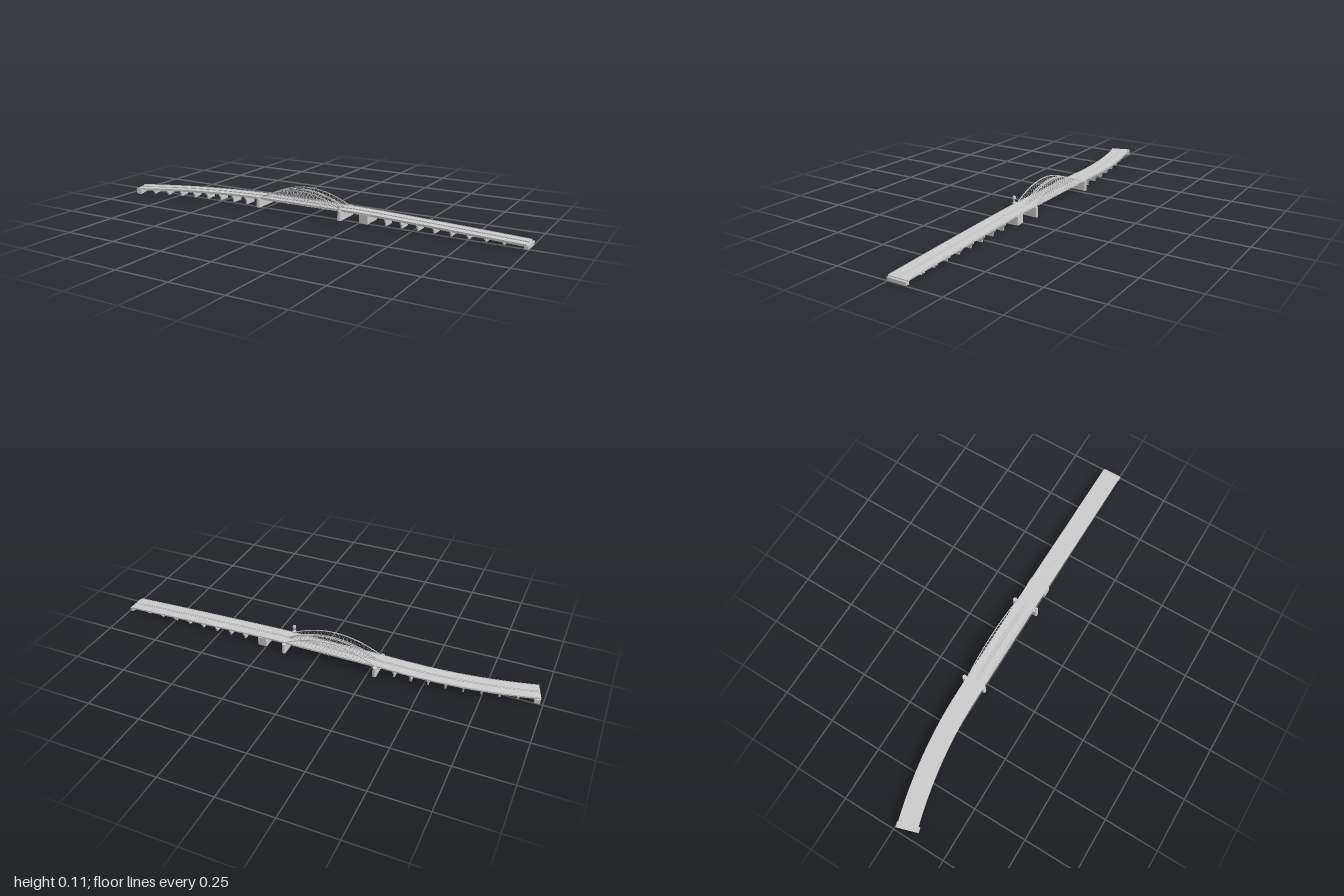
import * as THREE from 'three';

const mat = new THREE.MeshStandardMaterial({ color: 0xcccccc, flatShading: true, side: THREE.DoubleSide });
const CZ = -0.04, BEND = -0.36, R = 2.07, TOP = 0.046;
const S0 = -0.985, S1 = 0.99;

// Road surface height along the route
function roadY(s) {
  if (s < -0.28) return TOP - 0.021 * Math.pow((-0.28 - s) / 0.71, 1.2);
  if (s > 0.2) return TOP - 0.028 * Math.pow((s - 0.2) / 0.79, 1.2);
  return TOP;
}

// Heading of the route: straight, then a gentle arc on the right-hand approach
const heading = s => (s < BEND ? (BEND - s) / R : 0);

// Point at distance s along the route, u sideways and v above the road
function place(s, u, v) {
  const a = heading(s);
  const x = s < BEND ? BEND - R * Math.sin(a) : s;
  return new THREE.Vector3(x + u * Math.sin(a), roadY(s) + v, CZ + R * (1 - Math.cos(a)) + u * Math.cos(a));
}

function add(parent, geo, name) {
  const m = new THREE.Mesh(geo, mat);
  m.name = name;
  parent.add(m);
  return m;
}

function box(parent, name, x, y, z, w, h, d) {
  const m = add(parent, new THREE.BoxGeometry(w, h, d), name);
  m.position.set(x, y, z);
  return m;
}

// Rectangular section swept along the route
function ribbon(parent, name, u0, u1, v0, v1, s0 = S0, s1 = S1) {
  const prof = [[u0, v0], [u1, v0], [u1, v1], [u0, v1]];
  const n = Math.ceil((s1 - s0) / 0.04);
  const pos = [];
  const at = (i, j) => place(s0 + (s1 - s0) * i / n, ...prof[j % 4]);
  const quad = (a, b, c, d) => [a, b, c, a, c, d].forEach(p => pos.push(p.x, p.y, p.z));
  for (let i = 0; i < n; i++)
    for (let j = 0; j < 4; j++) quad(at(i, j), at(i + 1, j), at(i + 1, j + 1), at(i, j + 1));
  quad(at(0, 0), at(0, 1), at(0, 2), at(0, 3));
  quad(at(n, 0), at(n, 3), at(n, 2), at(n, 1));
  const g = new THREE.BufferGeometry();
  g.setAttribute('position', new THREE.Float32BufferAttribute(pos, 3));
  g.computeVertexNormals();
  return add(parent, g, name);
}

// Straight square bar between two points
function bar(parent, name, a, b, w, d = w) {
  const len = a.distanceTo(b);
  const m = add(parent, new THREE.BoxGeometry(w, len, d), name);
  m.position.copy(a).lerp(b, 0.5);
  m.rotation.z = Math.atan2(a.x - b.x, b.y - a.y);
  return m;
}

function deck() {
  const g = new THREE.Group();
  g.name = 'deck';
  ribbon(g, 'roadSlab', -0.045, 0.045, -0.003, 0);
  for (const side of [-1, 1]) {
    ribbon(g, 'parapet', side * 0.0445 - 0.0006, side * 0.0445 + 0.0006, -0.004, 0.0025);
    ribbon(g, 'medianBarrier', side * 0.004 - 0.0005, side * 0.004 + 0.0005, -0.001, 0.0018);
    for (const u of [0.009, 0.019, 0.029, 0.039])
      ribbon(g, 'girder', side * u - 0.001, side * u + 0.001, -0.009, -0.002);
  }
  return g;
}

// Arch with crossing hangers and a tie beam
function arch(z) {
  const g = new THREE.Group();
  g.name = 'arch';
  const mid = -0.06, half = 0.215, rise = 0.058;
  const point = x => {
    const t = THREE.MathUtils.clamp((x - mid) / half, -1, 1);
    return new THREE.Vector3(mid + t * half, TOP + rise * (1 - t * t), z);
  };
  const N = 24;
  for (let i = 0; i < N; i++) {
    const x = mid - half + 2 * half * i / N;
    bar(g, 'archRib', point(x), point(x + 2 * half / N), 0.0035);
  }
  for (let i = 1; i < N; i++) {
    const x = mid - half + 2 * half * i / N;
    for (const lean of [-1, 1]) {
      const h = point(x).y - TOP;
      const foot = new THREE.Vector3(x, TOP, z);
      bar(g, 'hanger', foot, point(x + lean * h * 0.5), 0.001);
    }
  }
  box(g, 'tieBeam', mid, TOP - 0.002, z, 2 * half, 0.008, 0.0035);
  return g;
}

// Wall pier tapering below its cap, turned to follow the route
function bent(s) {
  const h = roadY(s) - 0.007;
  const cap = Math.min(0.006, h * 0.35);
  const shape = new THREE.Shape();
  [[-0.03, 0], [0.03, 0], [0.032, h * 0.4], [0.042, h - cap], [0.042, h], [-0.042, h], [-0.042, h - cap], [-0.032, h * 0.4]]
    .forEach(([x, y], i) => (i ? shape.lineTo(x, y) : shape.moveTo(x, y)));
  const geo = new THREE.ExtrudeGeometry(shape, { depth: 0.007, bevelEnabled: false });
  geo.translate(0, 0, -0.0035).rotateY(Math.PI / 2);
  const m = new THREE.Mesh(geo, mat);
  m.name = 'approachPier';
  const p = place(s, 0, 0);
  m.position.set(p.x, 0, p.z);
  m.rotation.y = heading(s);
  return m;
}

// Main river pier: long wall with rounded noses
function riverPier(x, z0, z1, r) {
  const g = new THREE.Group();
  g.name = 'riverPier';
  const h = TOP - 0.004;
  box(g, 'pierWall', x, h / 2, (z0 + z1) / 2, r * 1.7, h, z1 - z0 - 2 * r);
  for (const z of [z0 + r, z1 - r]) {
    const nose = add(g, new THREE.CylinderGeometry(r, r, TOP, 16), 'pierNose');
    nose.position.set(x, TOP / 2, z);
  }
  return g;
}

function abutment(s, depth, width, h) {
  const g = new THREE.Group();
  g.name = 'abutment';
  box(g, 'abutmentWall', 0, h / 2, 0, depth, h, width);
  const p = place(s, 0, 0);
  g.position.set(p.x, 0, p.z);
  g.rotation.y = heading(s);
  return g;
}

export function createModel() {
  const root = new THREE.Group();
  root.name = 'archBridge';
  root.add(deck());
  for (const z of [0.002, -0.034, -0.044, -0.083]) root.add(arch(z));

  // Cross beams below the main span
  for (let i = 0; i <= 20; i++) box(root, 'crossBeam', -0.27 + i * 0.021, TOP - 0.006, CZ, 0.0025, 0.006, 0.086);

  // Approach piers on both sides
  for (let i = 0; i < 8; i++) {
    root.add(bent(-0.365 - i * 0.0755));
    root.add(bent(0.37 + i * 0.075));
  }

  // River piers and the transition block
  root.add(riverPier(-0.284, -0.105, 0.016, 0.01));
  root.add(riverPier(0.155, -0.105, 0.026, 0.009));
  box(root, 'transitionPier', 0.27, 0.0205, CZ, 0.042, 0.041, 0.096);

  // Abutments
  root.add(abutment(-0.971, 0.024, 0.1, 0.021));
  root.add(abutment(0.99, 0.018, 0.09, 0.014));

  // Lookout tower on the pier nose
  const profile = [[0, 0], [0.0065, 0], [0.0065, 0.047], [0.0045, 0.048], [0.0045, 0.059], [0.008, 0.063],
    [0.008, 0.072], [0.006, 0.075], [0, 0.077]].map(p => new THREE.Vector2(...p));
  const tower = add(root, new THREE.LatheGeometry(profile, 16), 'lookoutTower');
  tower.position.set(0.155, 0, 0.018);
  return root;
}
